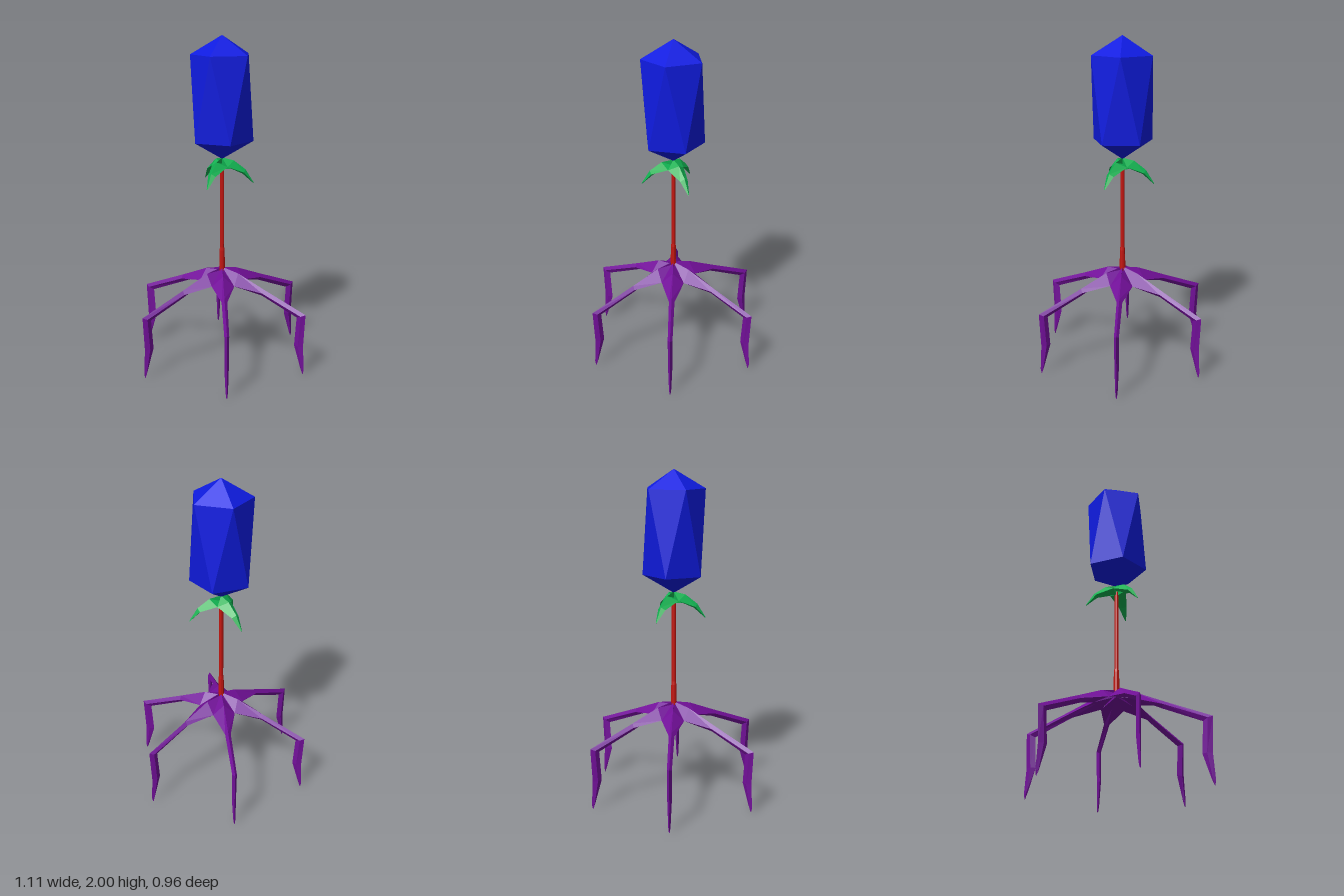
import * as THREE from 'three';
import { ConvexGeometry } from 'three/addons/geometries/ConvexGeometry.js';

const paint = (color) => new THREE.MeshStandardMaterial({ color, flatShading: true });

// Diamond-section limb running along +x. Each section holds
// top [x, y], sides [x, y, halfWidth] and bottom [x, y].
function limb(sections) {
  const pos = [];
  const rings = sections.map(([t, s, b]) => [
    [t[0], t[1], 0], [s[0], s[1], s[2]], [b[0], b[1], 0], [s[0], s[1], -s[2]],
  ]);
  const tri = (...corners) => corners.forEach((c) => pos.push(...c));
  for (let k = 0; k < rings.length - 1; k++) {
    const a = rings[k], b = rings[k + 1];
    for (let i = 0; i < 4; i++) {
      const j = (i + 1) % 4;
      tri(a[i], a[j], b[j]);
      tri(a[i], b[j], b[i]);
    }
  }
  const e = rings[rings.length - 1];
  tri(e[0], e[1], e[2]);
  tri(e[0], e[2], e[3]);
  const g = new THREE.BufferGeometry();
  g.setAttribute('position', new THREE.Float32BufferAttribute(pos, 3));
  g.computeVertexNormals();
  return g;
}

// Copies of one limb around the vertical axis
function radial(name, partName, geometry, material, count, start) {
  const group = new THREE.Group();
  group.name = name;
  for (let i = 0; i < count; i++) {
    const mesh = new THREE.Mesh(geometry, material);
    mesh.name = partName + (i + 1);
    mesh.rotation.y = start + (i * Math.PI * 2) / count;
    group.add(mesh);
  }
  return group;
}

export function createModel() {
  const model = new THREE.Group();
  model.name = 'virus';

  // Head: stretched icosahedron
  const points = [new THREE.Vector3(0, 2, 0), new THREE.Vector3(0, 1.28, 0)];
  for (let i = 0; i < 5; i++) {
    const a = (i * Math.PI * 2) / 5;
    const x = 0.185 * Math.cos(a), z = 0.185 * Math.sin(a);
    points.push(new THREE.Vector3(x, 1.89, z), new THREE.Vector3(-x, 1.39, -z));
  }
  const head = new THREE.Mesh(new ConvexGeometry(points), paint(0x0f1be0));
  head.name = 'head';
  model.add(head);

  // Collar: three drooping leaves
  const leaf = limb([
    [[0, 1.288], [0, 1.25, 0], [0, 1.215]],
    [[0.07, 1.27], [0.03, 1.24, 0.052], [0.06, 1.22]],
    [[0.14, 1.215], [0.13, 1.2, 0.025], [0.12, 1.19]],
    [[0.19, 1.133], [0.189, 1.131, 0.003], [0.187, 1.13]],
  ]);
  model.add(radial('collar', 'leaf', leaf, paint(0x10b050), 3, Math.PI / 2));

  // Tail: slim rod with a thicker foot
  const profile = [[0, 0.58], [0.018, 0.58], [0.016, 0.71], [0.013, 0.73], [0.013, 1.24], [0, 1.24]]
    .map(([x, y]) => new THREE.Vector2(x, y));
  const tail = new THREE.Mesh(new THREE.LatheGeometry(profile, 8), paint(0xc41610));
  tail.name = 'tail';
  model.add(tail);

  // Six legs that meet in a star-shaped base
  const leg = limb([
    [[0, 0.6], [0, 0.58, 0], [0, 0.56]],
    [[0.11, 0.575], [0.118, 0.515, 0.068], [0.13, 0.53]],
    [[0.28, 0.502], [0.28, 0.48, 0.017], [0.27, 0.46]],
    [[0.556, 0.388], [0.53, 0.377, 0.014], [0.5, 0.362]],
    [[0.546, 0.18], [0.517, 0.18, 0.013], [0.488, 0.18]],
    [[0.555, 0.03], [0.54, 0.035, 0.007], [0.53, 0.045]],
    [[0.549, 0], [0.546, 0.005, 0.003], [0.543, 0.01]],
  ]);
  model.add(radial('legs', 'leg', leg, paint(0x73109a), 6, 0));

  return model;
}
